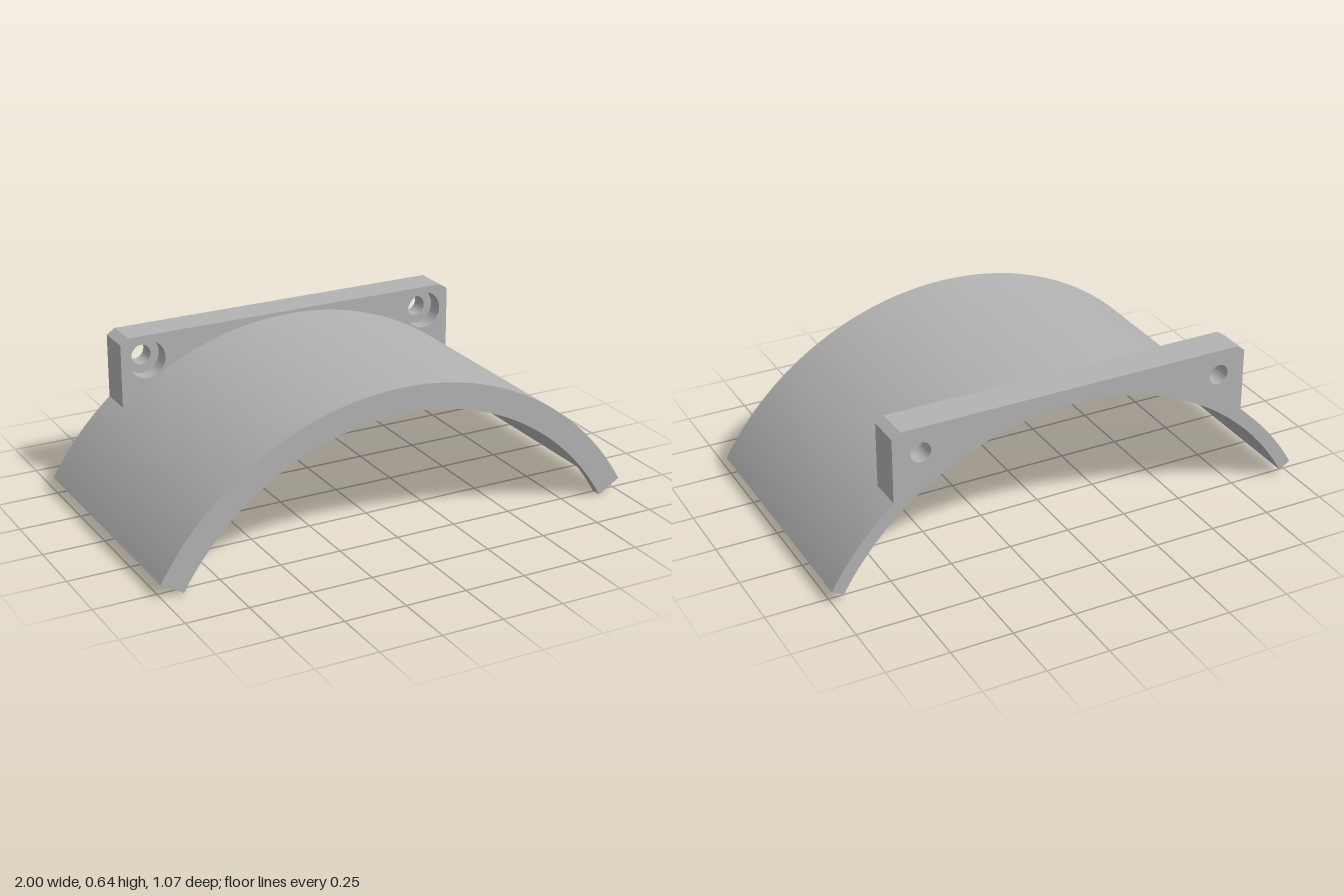
import * as THREE from 'three';
import { toCreasedNormals } from 'three/addons/utils/BufferGeometryUtils.js';

const OUTER = 1.155, INNER = 1.102, LIP = 1.05; // shell radii
const AXIS_Y = -0.525;                          // height of the arc centre
const HALF = 0.537;                             // half length along z
const START = Math.PI * 2 / 3, SWEEP = Math.PI * 2 / 3;

export function createModel() {
  const group = new THREE.Group();
  const grey = new THREE.MeshStandardMaterial({ color: 0xb3b3b3 });
  grey.name = 'plain grey';

  const add = (name, geometry, parent = group) => {
    const mesh = new THREE.Mesh(toCreasedNormals(geometry, 0.5), grey);
    mesh.name = name;
    parent.add(mesh);
    return mesh;
  };

  // Curved shell: wall section (radius, length) swept through 120 degrees
  const section = [
    [OUTER, -HALF], [OUTER, HALF], [LIP, HALF], [LIP, 0.492], [INNER, 0.443], [INNER, -HALF],
  ].map(([r, h]) => new THREE.Vector2(r, h));

  const shell = new THREE.Group();
  shell.name = 'shell';
  shell.rotation.x = Math.PI / 2; // lay the sweep axis along z
  shell.position.y = AXIS_Y;
  group.add(shell);
  add('archWall', new THREE.LatheGeometry([...section, section[0].clone()], 80, START, SWEEP), shell);

  // Flat ends of the shell, facing away from the sweep
  for (const [name, side, phi] of [['leftEnd', 1, START], ['rightEnd', -1, START + SWEEP]]) {
    const shape = new THREE.Shape(section.map((p) => new THREE.Vector2(side * p.x, p.y)));
    add(name, new THREE.ShapeGeometry(shape).rotateY(phi - side * Math.PI / 2), shell);
  }

  // Mounting flange: two layers, so the wide counterbore steps down to the screw hole
  const flangeLayer = (name, holeRadius, z0, z1) => {
    const r = OUTER - 0.01, w = 0.745;
    const a = Math.acos(w / r);
    const s = new THREE.Shape();
    s.moveTo(w, AXIS_Y + r * Math.sin(a));
    s.lineTo(w, 0.62);
    s.lineTo(0.71, 0.643);
    s.lineTo(-0.71, 0.643);
    s.lineTo(-w, 0.62);
    s.lineTo(-w, AXIS_Y + r * Math.sin(a));
    s.absarc(0, AXIS_Y, r, Math.PI - a, a, true);
    for (const x of [-0.632, 0.632]) {
      const hole = new THREE.Path();
      hole.absarc(x, 0.54, holeRadius, 0, Math.PI * 2, true);
      s.holes.push(hole);
    }
    const geometry = new THREE.ExtrudeGeometry(s, { depth: z1 - z0, bevelEnabled: false, curveSegments: 40 });
    add(name, geometry.translate(0, 0, z0));
  };
  flangeLayer('flangeBack', 0.041, -HALF, -0.464);
  flangeLayer('flangeFront', 0.077, -0.464, -0.397);

  return group;
}
